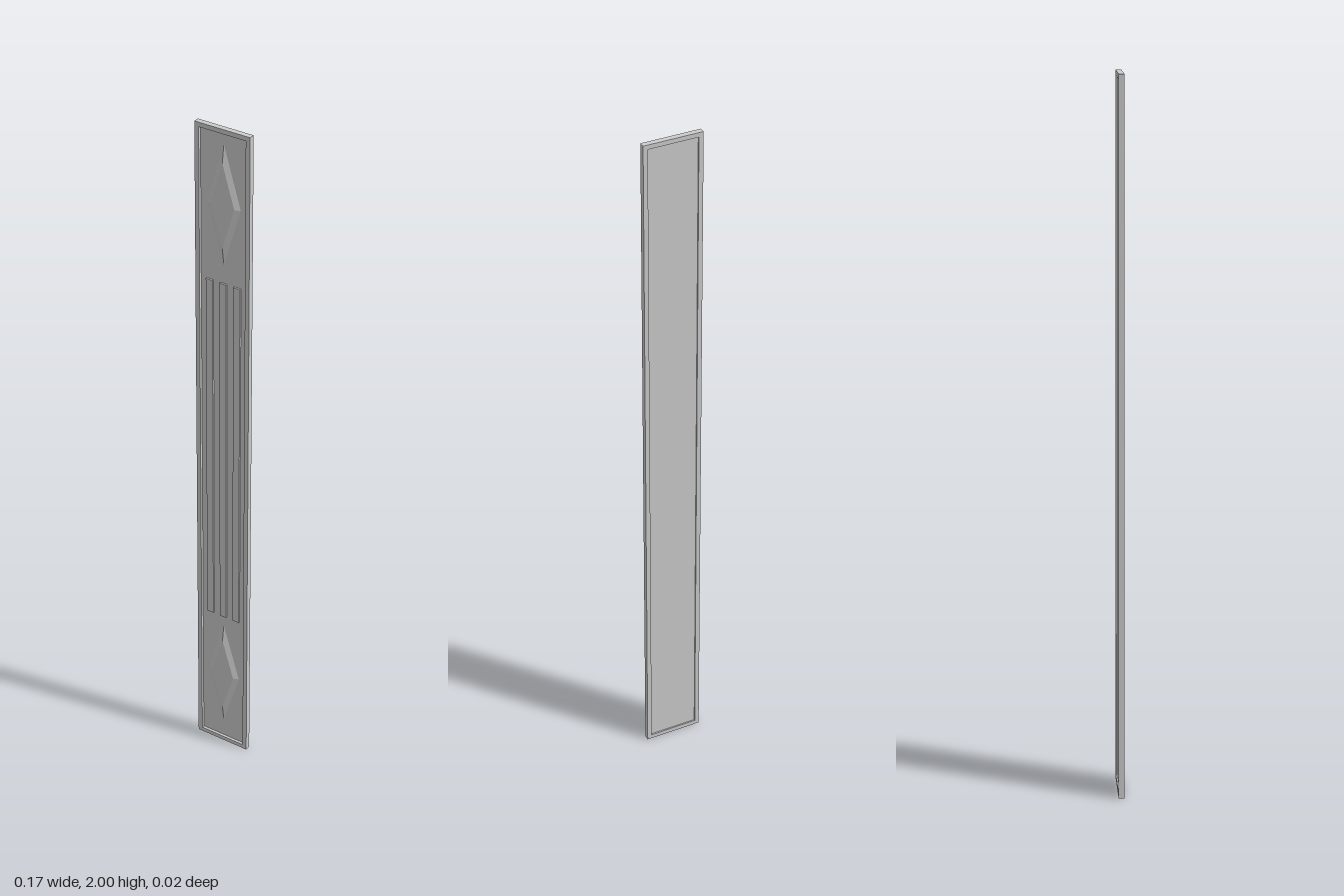
import * as THREE from 'three';

const W = 0.168, H = 2, D = 0.016, RIM = 0.013;
const PANEL_BACK = -0.004, PANEL_FRONT = 0;

export function createModel() {
  const group = new THREE.Group();
  const material = new THREE.MeshStandardMaterial({ color: 0xcccccc, flatShading: true });
  const add = (name, geometry, x, y, z) => {
    const mesh = new THREE.Mesh(geometry, material);
    mesh.name = name;
    mesh.position.set(x, y, z);
    group.add(mesh);
  };
  const rect = (Type, w, h) => new Type([
    new THREE.Vector2(-w / 2, -h / 2), new THREE.Vector2(w / 2, -h / 2),
    new THREE.Vector2(w / 2, h / 2), new THREE.Vector2(-w / 2, h / 2),
  ]);

  // Raised rim around the recessed panel
  const rim = rect(THREE.Shape, W, H);
  rim.holes.push(rect(THREE.Path, W - 2 * RIM, H - 2 * RIM));
  add('frame', new THREE.ExtrudeGeometry(rim, { depth: D, bevelEnabled: false }), 0, H / 2, -D / 2);

  // Thin panel, recessed on both sides
  add('panel', new THREE.BoxGeometry(W - 2 * RIM, H - 2 * RIM, PANEL_FRONT - PANEL_BACK),
    0, H / 2, (PANEL_FRONT + PANEL_BACK) / 2);

  // Three vertical bars
  for (const x of [-0.043, 0, 0.043]) {
    add('bar', new THREE.BoxGeometry(0.021, 1.095, 0.008), x, 1.003, 0.001);
  }

  // Bevelled diamonds: a four-sided frustum stretched along y
  for (const y of [0.245, 1.78]) {
    const diamond = new THREE.CylinderGeometry(0.65, 1, 0.009, 4);
    diamond.rotateX(Math.PI / 2);
    diamond.scale(0.056, 0.19, 1);
    add('diamond', diamond, 0, y, 0.0025);
  }
  return group;
}
